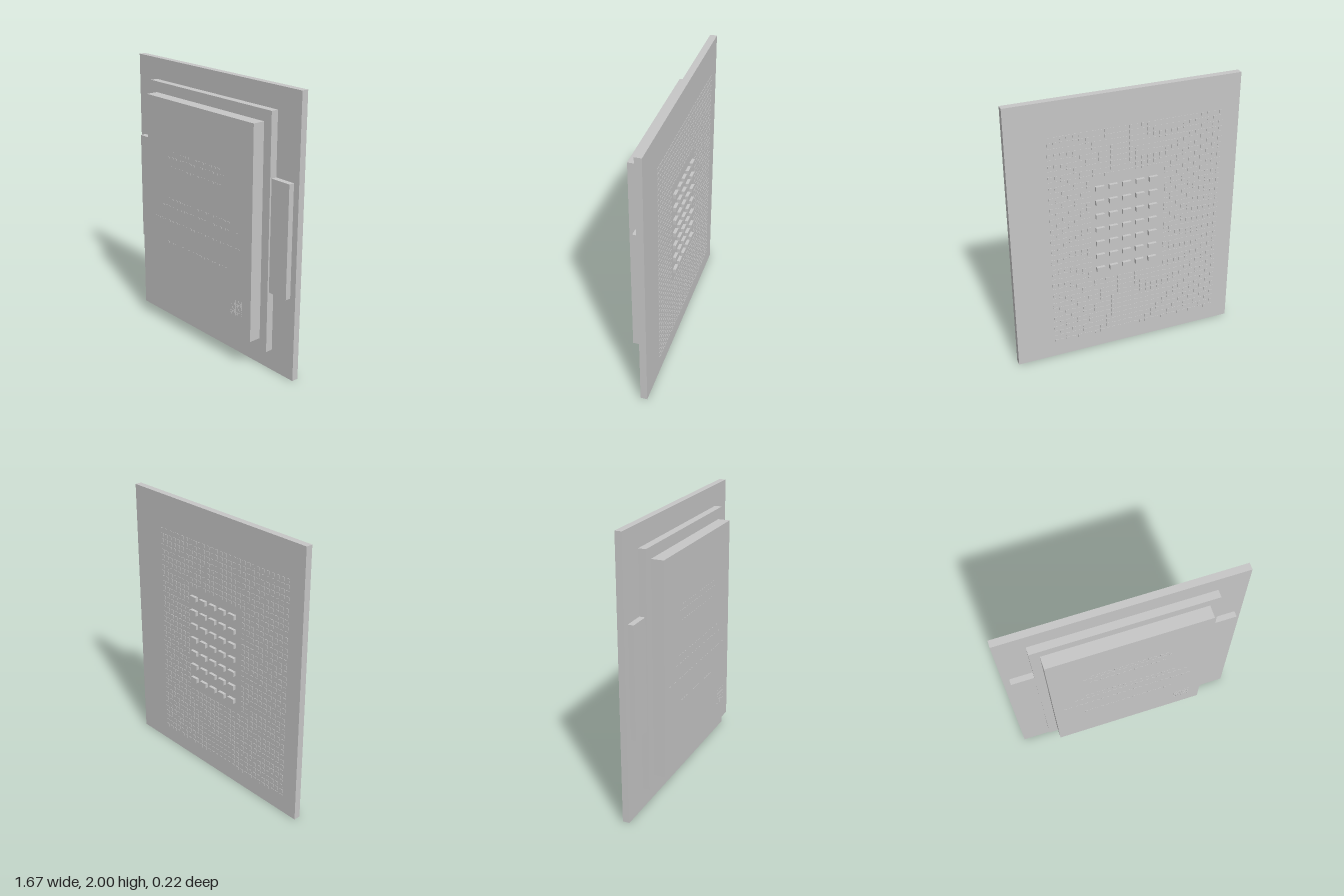
import * as THREE from 'three';
import { mergeGeometries } from 'three/addons/utils/BufferGeometryUtils.js';

const grey = new THREE.MeshStandardMaterial({ color: 0xc6c6c6 });
grey.name = 'light grey';

// Box geometry given by its limits on each axis
function slab(x0, x1, y0, y1, z0, z1) {
  return new THREE.BoxGeometry(x1 - x0, y1 - y0, z1 - z0)
    .translate((x0 + x1) / 2, (y0 + y1) / 2, (z0 + z1) / 2);
}

export function createModel() {
  const group = new THREE.Group();
  const add = (name, geometry) => {
    const mesh = new THREE.Mesh(geometry, grey);
    mesh.name = name;
    group.add(mesh);
  };
  const back = -0.087, boardFront = -0.038, lidFront = 0.105;

  // Board and stepped metal lid
  add('board', slab(-0.833, 0.833, 0, 2, back, boardFront));
  add('lidFlange', slab(-0.627, 0.627, 0.155, 1.845, boardFront, 0.016));
  add('lid', slab(-0.56, 0.56, 0.235, 1.766, 0.016, lidFront));

  // Side wings of the lid
  add('rightWing', slab(-0.787, -0.627, 0.6, 1.4, boardFront, 0.003));
  add('leftWing', slab(0.627, 0.787, 0.6, 1.4, boardFront, 0.003));

  // Grid of small capacitors in the middle of the back
  const capacitors = [];
  for (let row = 0; row < 7; row++) {
    for (let col = 0; col < 5; col++) {
      const x = -0.195 + col * 0.098, y = 0.68 + row * 0.1075;
      capacitors.push(slab(x - 0.031, x + 0.031, y - 0.017, y + 0.017, -0.109, back));
    }
  }
  add('capacitors', mergeGeometries(capacitors));

  // Contact pads around the capacitors
  const pads = [];
  const cols = 29, rows = 41;
  for (let row = 0; row < rows; row++) {
    for (let col = 0; col < cols; col++) {
      const x = -0.695 + col * 1.235 / (cols - 1);
      const y = 0.13 + row * 1.61 / (rows - 1);
      if (Math.abs(x) < 0.26 && y > 0.61 && y < 1.39) continue;
      pads.push(slab(x - 0.014, x + 0.014, y - 0.012, y + 0.012, back - 0.003, back));
    }
  }
  add('contactPads', mergeGeometries(pads));

  // Faint plain dashes on the lid: [start x, end x, y]
  const dashes = [];
  const lines = [
    [-0.27, 0.27, 1.39], [-0.325, 0.3, 1.35], [-0.29, 0.27, 1.28],
    [-0.325, 0.32, 1.04], [-0.4, 0.41, 0.98], [-0.49, 0.46, 0.87], [-0.34, 0.33, 0.7],
  ];
  for (const [x0, x1, y] of lines) {
    for (let x = x0; x < x1; x += 0.04) {
      dashes.push(slab(x, x + 0.022, y - 0.006, y + 0.006, lidFront, lidFront + 0.002));
    }
  }
  add('lidDashes', mergeGeometries(dashes));

  // Small dotted square in the lower corner of the lid
  const dots = [];
  for (let i = 0; i < 8; i++) {
    for (let j = 0; j < 8; j++) {
      if ((i * 3 + j * 5 + i * j) % 4 > 1) continue;
      const x = 0.355 + i * 0.015, y = 0.38 + j * 0.015;
      dots.push(slab(x, x + 0.012, y, y + 0.012, lidFront, lidFront + 0.002));
    }
  }
  add('dottedSquare', mergeGeometries(dots));

  return group;
}
